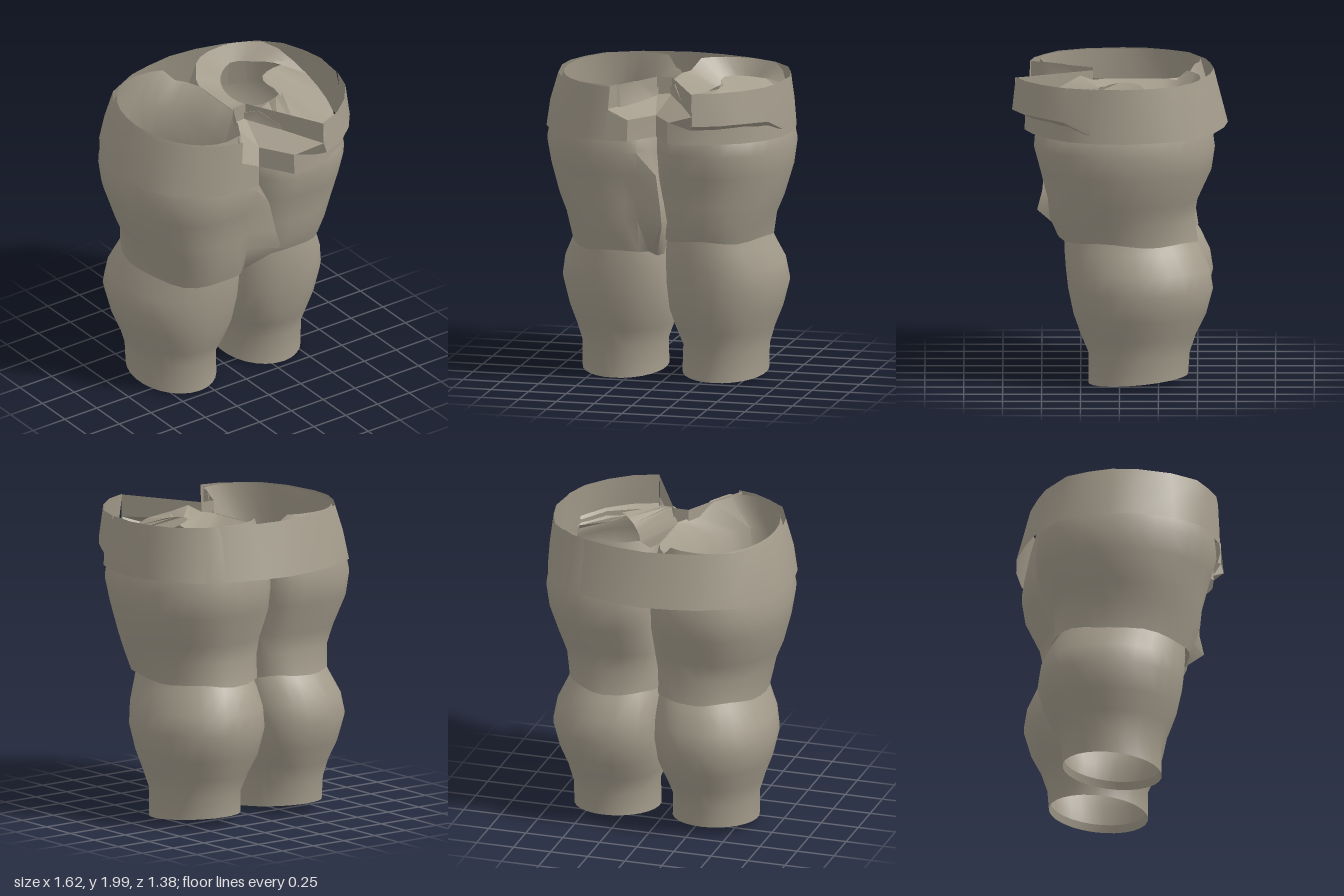
import * as THREE from 'three';
import { toCreasedNormals } from 'three/addons/utils/BufferGeometryUtils.js';

const cloth = new THREE.MeshStandardMaterial({ color: 0xa49c8c, side: THREE.DoubleSide });
cloth.name = 'stoneCloth';

// Skin a surface through rows of points [x, y, z]
function loft(name, rows, crease = 0.9) {
  const n = rows[0].length, idx = [];
  for (let r = 0; r < rows.length - 1; r++) {
    for (let i = 0; i < n - 1; i++) {
      const a = r * n + i, b = a + 1, c = a + n, d = c + 1;
      idx.push(a, c, b, b, c, d);
    }
  }
  const geo = new THREE.BufferGeometry();
  geo.setAttribute('position', new THREE.Float32BufferAttribute(rows.flat(2), 3));
  geo.setIndex(idx);
  const mesh = new THREE.Mesh(toCreasedNormals(geo, crease), cloth);
  mesh.name = name;
  return mesh;
}

// Leg cross-section: round outside, squarer inside, cut off at the centre seam
function ring([y, outer, inner, front, back, n = 2], side, adjust) {
  const pts = [], cx = (outer + inner) / 2, cz = (front + back) / 2;
  const rx = (outer - inner) / 2, rz = (front - back) / 2;
  for (let i = 0; i <= 28; i++) {
    const t = (i / 28) * Math.PI * 2, c = Math.cos(t), s = Math.sin(t);
    const e = c < 0 ? 2 / n : 1;
    const p = [
      Math.max(-0.002, cx + rx * Math.sign(c) * Math.abs(c) ** e), y,
      cz + rz * Math.sign(s) * Math.abs(s) ** e,
    ];
    // groove at the front seam, opening into a notch at the waist
    if (y > 1) p[2] = Math.min(p[2], (y > 1.8 ? 0.1 : 0.36) + 1.8 * Math.max(0, p[0]));
    adjust?.(p, t);
    pts.push([p[0] * side, p[1], p[2]]);
  }
  return pts;
}

const calfRings = [
  [0.2, 0.61, 0.06, 0.2, -0.45], [0.32, 0.645, 0.02, 0.25, -0.49, 2.2],
  [0.45, 0.695, -0.02, 0.295, -0.555, 2.4], [0.62, 0.737, -0.04, 0.33, -0.6, 2.6],
  [0.75, 0.715, -0.04, 0.345, -0.58, 2.6], [0.88, 0.655, -0.02, 0.355, -0.52, 2.6],
  [0.96, 0.625, 0, 0.35, -0.47, 2.6],
];
const thighRings = [
  [1.08, 0.68, -0.04, 0.45, -0.48, 3], [1.2, 0.73, -0.06, 0.46, -0.5, 3],
  [1.4, 0.785, -0.07, 0.51, -0.59, 3.2], [1.55, 0.807, -0.08, 0.55, -0.612, 3.2],
  [1.66, 0.785, -0.08, 0.54, -0.597, 3.2], [1.84, 0.745, -0.05, 0.52, -0.56, 2.8],
];

function leg(side) {
  const group = new THREE.Group();
  group.name = side > 0 ? 'leftLeg' : 'rightLeg';
  // calf with a sloping cuff turned in at the bottom
  const slope = (p) => { p[1] += (0.2 - p[2]) * 0.094; };
  const turnIn = ring([0.05, 0.595, 0.07, 0.185, -0.43], side, slope);
  const cuff = ring([0, 0.607, 0.055, 0.2, -0.44], side, slope);
  group.add(loft('calf', [turnIn, cuff, ...calfRings.map((r) => ring(r, side))]));

  // thigh with a wavy hem tucked into the calf
  const hemY = side > 0 ? 0.955 : 0.87;
  const tuck = ring([0.98, 0.6, 0.03, 0.28, -0.45, 2.4], side);
  const hem = ring([0.9, 0.65, -0.03, side > 0 ? 0.4 : 0.385, -0.505, 2.8], side, (p, t) => {
    p[1] = hemY + (0.93 - hemY) * (1 - Math.sin(t)) / 2 + 0.01 * Math.sin(t * 5);
    if (side < 0 && p[2] > 0.1 && p[0] < 0.06) p[1] = 0.83;
  });
  // outer front of the left leg sinks below the waist
  const sink = (p, t) => {
    if (side > 0 && p[1] > 1.8) p[1] -= 0.8 * (p[1] - 1.66) * Math.max(0, Math.cos(t - Math.PI / 4));
  };
  // right thigh laps over the front seam
  const shape = (p, t) => {
    const fold = 1 - Math.abs(p[1] - 1.08) / 0.45;
    if (side < 0 && fold > 0 && p[2] > 0.1 && p[0] < 0.06) {
      p[0] = -0.075 * fold;
      p[2] += 0.15 * fold;
    }
    sink(p, t);
  };
  const rim = ring([1.99, side > 0 ? 0.74 : 0.69, -0.03, 0.51, -0.52, 2.6], side, (p, t) => {
    sink(p, t);
    if (p[0] < 0.08) p[1] -= 0.07;
  });
  group.add(loft('thigh', [tuck, hem, ...thighRings.map((r) => ring(r, side, shape)), rim]));

  // inside: a domed cap with a notched hole on the left, a deep lining on the right
  const inside = side > 0
    ? [ring([1.88, 0.57, 0.185, 0.11, -0.465], side, (p, t) => {
      const bite = t < Math.PI / 2 ? Math.sin(2 * t) : 0;
      p[0] -= 0.16 * bite;
      p[2] -= 0.1 * bite;
      p[1] += 0.08 * Math.max(0, Math.cos(t - Math.PI / 4)) - 0.06 * Math.max(0, -Math.cos(t));
    })]
    : [[1.78, 0.7, 0.16, 0.48, -0.53], [1.5, 0.73, 0.19, 0.47, -0.54]].map((r) => ring(r, side));
  group.add(loft(side > 0 ? 'domedCap' : 'lining', [rim, ...inside]));
  return group;
}

// Waistband plan [x, z, top height], from the front notch round the back
const bandPlan = [
  [0, 0.39, 1.78], [-0.14, 0.59, 1.78], [-0.28, 0.587, 1.84], [-0.285, 0.587, 1.99],
  [-0.42, 0.56, 1.99], [-0.55, 0.49, 1.99], [-0.68, 0.4, 1.99], [-0.77, 0.22, 1.99],
  [-0.81, -0.02, 1.99], [-0.79, -0.2, 1.99], [-0.72, -0.36, 1.99], [-0.62, -0.51, 1.99],
  [-0.37, -0.635, 1.99], [-0.2, -0.67, 1.99], [0, -0.695, 1.99], [0.2, -0.67, 1.99],
  [0.4, -0.61, 1.99], [0.6, -0.51, 1.99], [0.72, -0.37, 1.99], [0.78, -0.2, 1.99],
  [0.812, -0.03, 1.99], [0.79, 0.18, 1.99], [0.73, 0.32, 1.76], [0.6, 0.46, 1.78],
  [0.42, 0.56, 1.78], [0.27, 0.61, 1.78], [0.13, 0.6, 1.78], [0, 0.39, 1.78],
];
// Raised front flap on the left side [x, z, ledge inset, bottom height]
const flapPlan = [
  [0.32, 0.69, 0.11, 1.78], [0.48, 0.625, 0.11, 1.78], [0.62, 0.51, 0.1, 1.78],
  [0.735, 0.36, 0.06, 1.77], [0.79, 0.19, 0, 1.73],
];

function waistband() {
  const group = new THREE.Group();
  group.name = 'waistband';
  // band leaning inward as it rises
  const row = (f) => bandPlan.map(([x, z, h]) => {
    const k = (f * (h - 1.64)) / 0.35;
    return [
      x * (1 - k ** 1.6 * (x < 0 ? 0.1 : 0.04)), 1.64 + 0.35 * k,
      z * (1 - k * (z < 0 ? 0.13 : 0.02)),
    ];
  });
  group.add(loft('band', [row(0), row(0.5), row(1)], 0.8));

  // flap wall and the ledge below it
  const ledge = flapPlan.map(([x, z, inset, y]) => [x * (1 - inset), y - 0.04, z * (1 - inset)]);
  const edge = flapPlan.map(([x, z, , y]) => [x, y, z]);
  const top = flapPlan.map(([x, z]) => [x * 0.965, 1.99, z * 0.965]);
  group.add(loft('flap', [ledge, edge, top], 0.6));

  // recessed wall behind the front opening, with its sloping floor
  const wall = [[-0.28, 0.57], [-0.13, 0.32], [-0.05, 0.17], [0.05, 0.17], [0.31, 0.67]];
  const foot = [1.84, 1.85, 1.87, 1.88, 1.84];
  const low = wall.map(([x, z], i) => [x, foot[i], z]);
  const high = wall.map(([x, z]) => [x, 1.985, z]);
  const lip = [[-0.28, 1.84, 0.58], [-0.14, 1.78, 0.59], [0, 1.78, 0.39], [0, 1.78, 0.39], [0.14, 1.78, 0.6]];
  group.add(loft('openingWall', [low, high], 0.3));
  group.add(loft('openingFloor', [lip, low], 0.3));
  // front end of the flap
  group.add(loft('flapEnd', [[lip[4], lip[4]], [ledge[0], low[4]], [edge[0], low[4]]], 0.3));
  return group;
}

export function createModel() {
  const model = new THREE.Group();
  model.name = 'trousers';
  model.add(leg(1), leg(-1), waistband());
  return model;
}
